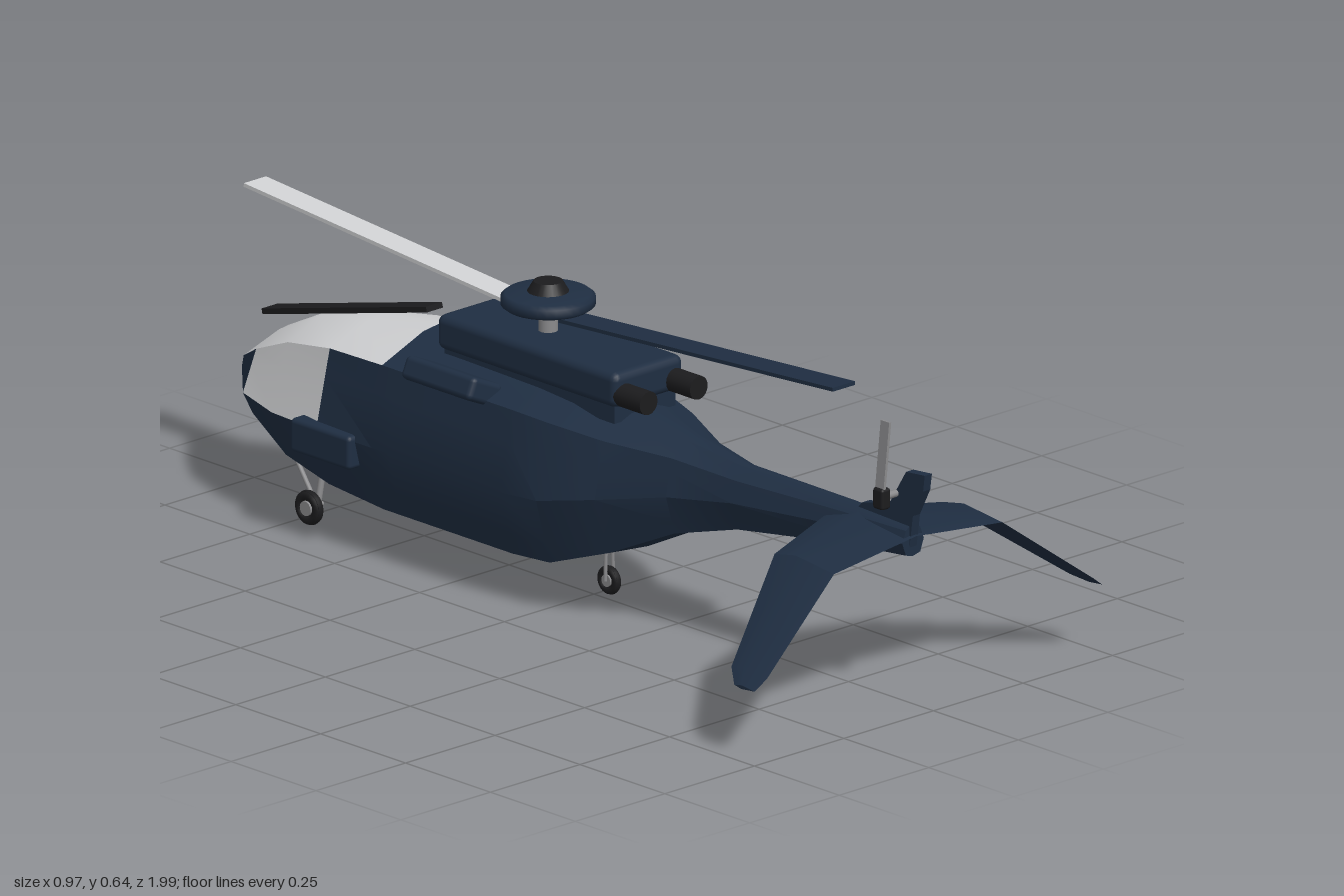
import * as THREE from 'three';
import { toCreasedNormals } from 'three/addons/utils/BufferGeometryUtils.js';
import { RoundedBoxGeometry } from 'three/addons/geometries/RoundedBoxGeometry.js';

const mat = (name, color, side = THREE.FrontSide) => {
  const m = new THREE.MeshStandardMaterial({ color, side });
  m.name = name;
  return m;
};

// Skin closed rings (counterclockwise about the travel axis); pick() names the surface of each quad
function loft(rings, pick) {
  const out = {};
  const n = rings[0].length;
  const tri = (key, ...pts) => pts.forEach((p) => (out[key] ??= []).push(...p));
  for (let i = 0; i < rings.length - 1; i++) {
    for (let j = 0; j < n; j++) {
      const k = (j + 1) % n;
      const key = pick(i, j);
      if (!key) continue;
      const [a, b, c, d] = [rings[i][j], rings[i][k], rings[i + 1][k], rings[i + 1][j]];
      tri(key, a, b, c);
      tri(key, a, c, d);
    }
  }
  const first = rings[0], last = rings[rings.length - 1];
  for (let j = 1; j < n - 1; j++) {
    tri('body', first[0], first[j + 1], first[j]);
    tri('body', last[0], last[j], last[j + 1]);
  }
  for (const key in out) {
    const g = new THREE.BufferGeometry();
    g.setAttribute('position', new THREE.Float32BufferAttribute(out[key], 3));
    out[key] = toCreasedNormals(g, 0.45);
  }
  return out;
}

export function createModel() {
  const root = new THREE.Group();
  root.name = 'helicopter';
  const navy = mat('navy paint', 0x1f2e42);
  const glass = mat('pale windscreen', 0xd2d3d5);
  const black = mat('black', 0x1c1c1e);
  const steel = mat('grey metal', 0x8a8a8c);
  const cabin = mat('cabin grey', 0x6c6a6a, THREE.DoubleSide);

  const add = (name, geo, m, x = 0, y = 0, z = 0, rx = 0, rz = 0) => {
    const mesh = new THREE.Mesh(geo, m);
    mesh.name = name;
    mesh.position.set(x, y, z);
    mesh.rotation.set(rx, 0, rz);
    root.add(mesh);
    return mesh;
  };
  const box = (w, h, d) => new THREE.BoxGeometry(w, h, d);
  const round = (w, h, d, r) => new RoundedBoxGeometry(w, h, d, 2, r);
  const cyl = (r1, r2, h, s = 24) => new THREE.CylinderGeometry(r1, r2, h, s);
  const rod = (name, a, b, r, m) => {
    const p = new THREE.Vector3(...a), q = new THREE.Vector3(...b);
    const mesh = add(name, cyl(r, r, p.distanceTo(q), 10), m);
    mesh.position.copy(p).add(q).multiplyScalar(0.5);
    mesh.quaternion.setFromUnitVectors(new THREE.Vector3(0, 1, 0), q.sub(p).normalize());
  };

  // Fuselage stations: z, top, shoulder x/y, waist x/y, chine x/y, belly
  const stations = [
    [-1, 0.28, 0.03, 0.272, 0.035, 0.25, 0.03, 0.225, 0.22],
    [-0.9, 0.355, 0.09, 0.325, 0.127, 0.24, 0.1, 0.19, 0.182],
    [-0.77, 0.42, 0.125, 0.38, 0.17, 0.24, 0.13, 0.14, 0.13],
    [-0.62, 0.447, 0.15, 0.41, 0.188, 0.245, 0.152, 0.12, 0.108],
    [-0.45, 0.472, 0.165, 0.42, 0.195, 0.25, 0.16, 0.11, 0.097],
    [-0.4, 0.472, 0.165, 0.42, 0.195, 0.25, 0.16, 0.11, 0.096],
    [-0.07, 0.465, 0.165, 0.42, 0.195, 0.25, 0.16, 0.11, 0.097],
    [0.03, 0.458, 0.158, 0.415, 0.19, 0.255, 0.152, 0.114, 0.102],
    [0.16, 0.44, 0.125, 0.4, 0.15, 0.28, 0.11, 0.157, 0.146],
    [0.3, 0.415, 0.068, 0.385, 0.083, 0.305, 0.06, 0.222, 0.215],
    [0.46, 0.395, 0.04, 0.37, 0.053, 0.325, 0.036, 0.265, 0.26],
    [0.76, 0.394, 0.03, 0.378, 0.04, 0.35, 0.03, 0.31, 0.305],
    [0.94, 0.39, 0.02, 0.378, 0.03, 0.352, 0.02, 0.325, 0.32],
  ];
  const mix = (a, b, t) => a + (b - a) * t;
  const rings = stations.map(([z, top, sx, sy, hx, hy, bx, by, belly]) => {
    const right = [
      [0, belly], [bx, by], [mix(hx, bx, 0.68), mix(hy, by, 0.68)], [hx, hy],
      [mix(sx, hx, 0.35), mix(sy, hy, 0.35)], [sx, sy], [sx * 0.3, mix(top, sy, 0.12)], [0, top],
    ];
    const left = right.slice(1, 7).reverse().map(([x, y]) => [-x, y]);
    return [...right, ...left].map(([x, y]) => [x, y, z]);
  });
  const hull = loft(rings, (i, j) => {
    if (i === 5 && (j === 2 || j === 3)) return null; // open side door
    const roof = j >= 5 && j <= 8;
    const sideWindow = [3, 4, 9, 10].includes(j);
    return (roof && i < 4) || (sideWindow && (i === 1 || i === 2)) ? 'glass' : 'body';
  });
  add('fuselage', hull.body, navy);
  add('windscreen', hull.glass, glass);

  // Cabin lining and seats behind the open door
  add('cabinFloor', box(0.335, 0.006, 0.33), cabin, 0.005, 0.152, -0.235);
  add('cabinCeiling', box(0.33, 0.006, 0.33), cabin, 0.005, 0.365, -0.235);
  add('cabinWall', box(0.006, 0.21, 0.33), cabin, -0.155, 0.258, -0.235);
  for (const z of [-0.4, -0.07]) add('cabinBulkhead', box(0.325, 0.21, 0.005), cabin, 0.005, 0.258, z);
  for (const z of [-0.18, -0.278]) {
    add('seatBack', box(0.02, 0.1, 0.09), glass, -0.1, 0.222, z);
    add('seatCushion', box(0.09, 0.02, 0.09), glass, -0.05, 0.18, z);
  }

  // Engine housing, exhausts and side fairings
  add('engineHousing', round(0.195, 0.075, 0.53, 0.018), navy, 0, 0.498, -0.1);
  add('engineBase', box(0.17, 0.05, 0.5), navy, 0, 0.45, -0.1);
  for (const s of [-1, 1]) {
    add('exhaust', cyl(0.025, 0.025, 0.09, 16), black, s * 0.07, 0.487, 0.19, Math.PI / 2);
    add('intakePod', round(0.09, 0.05, 0.205, 0.012), navy, s * 0.165, 0.437, -0.245, 0, s * 0.42);
    add('sidePod', round(0.05, 0.072, 0.175, 0.01), navy, s * 0.185, 0.226, -0.588);
  }
  for (let i = 0; i < 5; i++) {
    add('doorRoller', cyl(0.018, 0.018, 0.042, 12), black, 0.178, 0.386, -0.165 - i * 0.047);
  }

  // Main rotor
  const hubZ = -0.135;
  add('mast', cyl(0.02, 0.02, 0.06), steel, 0, 0.555, hubZ);
  add('hubNeck', cyl(0.035, 0.035, 0.05), navy, 0, 0.598, hubZ);
  add('hubDisc', round(0.001, 0.001, 0.001, 0.0001), navy, 0, 0.6, hubZ).geometry =
    new THREE.LatheGeometry([[0, -0.014], [0.088, -0.014], [0.097, -0.007], [0.097, 0.009],
      [0.088, 0.016], [0.045, 0.02], [0, 0.02]].map(([x, y]) => new THREE.Vector2(x, y)), 32);
  add('hubCap', cyl(0.03, 0.045, 0.025), black, 0, 0.629, hubZ);
  add('rearBlade', box(0.062, 0.008, 0.81), navy, 0, 0.605, 0.332, -0.067);
  add('frontBlade', box(0.062, 0.008, 0.81), glass, 0, 0.607, -0.595, 0.075);
  add('windscreenBar', box(0.045, 0.012, 0.5), black, 0, 0.438, -0.712, -0.252);

  // Drooping tailplane: x, y, leading z, trailing z, half thickness
  const half = [
    [0, 0.365, 0.71, 0.95, 0.025], [0.04, 0.36, 0.72, 0.95, 0.018],
    [0.235, 0.34, 0.78, 0.955, 0.012], [0.455, 0.177, 0.885, 0.99, 0.008], [0.485, 0.155, 0.925, 0.985, 0.004],
  ];
  const span = [...half.slice(1).reverse().map(([x, ...r]) => [-x, ...r]), ...half];
  const tail = loft(span.map(([x, y, a, b, t]) => {
    const m = mix(a, b, 0.35);
    return [[x, y + t, m], [x, y, b], [x, y - t, m], [x, y, a]];
  }), () => 'body');
  add('tailplane', tail.body, navy);

  // Vertical fin, drawn as (-z, y) and turned to face sideways
  const fin = new THREE.Shape([[-0.78, 0.38], [-0.8, 0.402], [-0.88, 0.42], [-0.93, 0.5], [-0.985, 0.505],
    [-0.98, 0.47], [-0.95, 0.41], [-0.94, 0.34]].map(([x, y]) => new THREE.Vector2(x, y)));
  const finGeo = new THREE.ExtrudeGeometry(fin, { depth: 0.02, bevelEnabled: false });
  finGeo.translate(0, 0, -0.01).rotateY(Math.PI / 2);
  add('tailFin', finGeo, navy);

  // Tail rotor on the right side of the fin
  rod('tailRotorShaft', [0.01, 0.447, 0.9], [-0.06, 0.447, 0.9], 0.008, steel);
  add('tailRotorHub', round(0.025, 0.045, 0.03, 0.006), black, -0.05, 0.446, 0.9);
  add('tailRotorBlade', box(0.006, 0.15, 0.025), steel, -0.046, 0.533, 0.9, 0, -0.11);

  // Landing gear: a forward pair and one rear wheel
  const wheel = (x, y, z, r, w) => {
    add('tyre', cyl(r, r, w * 0.6), black, x, y, z, 0, Math.PI / 2);
    add('tyreTread', new THREE.TorusGeometry(r - w / 2 + 0.002, w / 2, 8, 24), black, x, y, z).rotation.y = Math.PI / 2;
    add('wheelHub', cyl(r * 0.45, r * 0.45, w * 1.05, 16), steel, x, y, z, 0, Math.PI / 2);
  };
  for (const s of [-1, 1]) {
    wheel(s * 0.122, 0.04, -0.71, 0.035, 0.022);
    rod('axle', [s * 0.085, 0.04, -0.71], [s * 0.125, 0.04, -0.71], 0.005, steel);
    rod('strut', [s * 0.098, 0.04, -0.71], [s * 0.08, 0.13, -0.71], 0.007, steel);
    rod('brace', [s * 0.1, 0.045, -0.715], [s * 0.085, 0.15, -0.81], 0.005, steel);
  }
  wheel(0, 0.045, 0.045, 0.029, 0.018);
  for (const s of [-1, 1]) rod('rearFork', [s * 0.011, 0.045, 0.045], [s * 0.009, 0.12, 0.045], 0.004, steel);

  return root;
}
